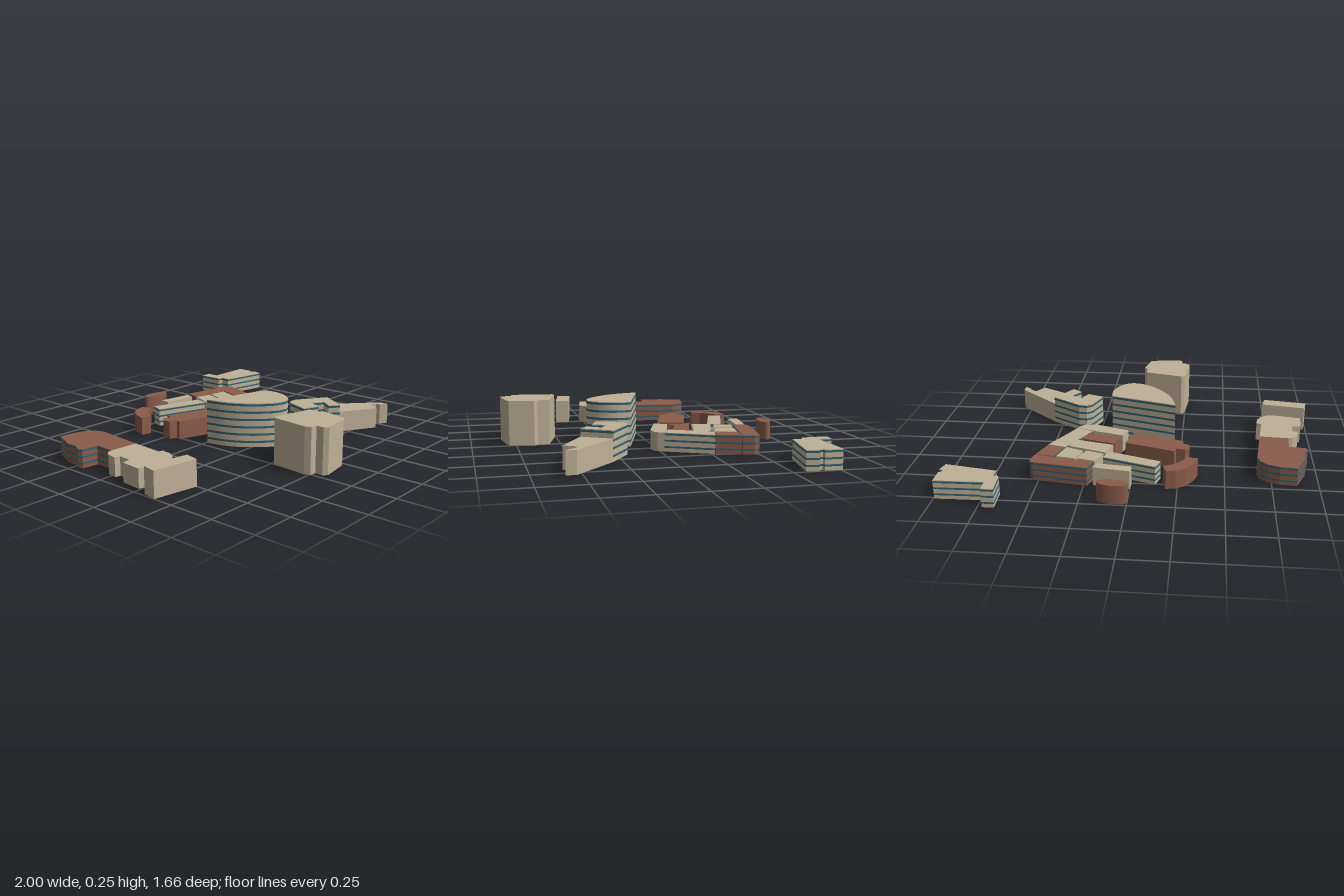
import * as THREE from 'three';

const TAN = new THREE.MeshStandardMaterial({ color: 0xbfb198 });
const RED = new THREE.MeshStandardMaterial({ color: 0x8b5c4b });
const GLASS = new THREE.MeshStandardMaterial({ color: 0x2f6373 });
const LOW = 0.105;

// Upright prism over a plan outline given as Vector2(x, -z)
function prism(outline, y, height, material, name) {
  const geo = new THREE.ExtrudeGeometry(new THREE.Shape(outline), { depth: height, bevelEnabled: false });
  geo.rotateX(-Math.PI / 2);
  const mesh = new THREE.Mesh(geo, material);
  mesh.position.y = y;
  mesh.name = name;
  return mesh;
}

// Push a counter-clockwise outline outwards with mitred corners
function offset(pts, d) {
  const n = pts.length;
  const normal = (a, b) => new THREE.Vector2(b.y - a.y, a.x - b.x).normalize();
  return pts.map((p, i) => {
    const n1 = normal(pts[(i + n - 1) % n], p);
    const n2 = normal(p, pts[(i + 1) % n]);
    return p.clone().add(n1.clone().add(n2).multiplyScalar(d / Math.max(0.3, 1 + n1.dot(n2))));
  });
}

// Flat list of x, z pairs to Vector2 points
function plan(xz) {
  const pts = [];
  for (let i = 0; i < xz.length; i += 2) pts.push(new THREE.Vector2(xz[i], -xz[i + 1]));
  return pts;
}

// One building: solid body plus a window band on each floor
function building(name, pts, height, material, floors = 0) {
  const outline = THREE.ShapeUtils.isClockWise(pts) ? pts.slice().reverse() : pts;
  const group = new THREE.Group();
  group.name = name;
  group.add(prism(outline, 0, height, material, 'walls'));
  const step = height / Math.max(floors, 1);
  const ring = offset(outline, 0.0015);
  for (let i = 0; i < floors; i++) {
    group.add(prism(ring, (i + 0.6) * step, step * 0.28, GLASS, 'windowBand'));
  }
  return group;
}

export function createModel() {
  const model = new THREE.Group();
  model.name = 'campus';
  const add = (name, xz, height, material, floors) =>
    model.add(building(name, plan(xz), height, material, floors));

  // Oval and curved pavilions at the back
  const oval = new THREE.EllipseCurve(0.077, 0.705, 0.083, 0.037, 0, Math.PI * 2, false, -0.1);
  model.add(building('ovalPavilion', oval.getPoints(32).slice(0, -1), LOW, RED));
  add('curvedPavilion', [-0.353, -0.38, -0.29, -0.37, -0.27, -0.415, -0.235, -0.455, -0.195, -0.48,
    -0.17, -0.49, -0.187, -0.55, -0.24, -0.54, -0.29, -0.51, -0.33, -0.45], LOW, RED);

  // Bars and hall left of the courtyard
  add('shortBar', [0, -0.57, 0.2, -0.54, 0.19, -0.49, -0.005, -0.51], LOW, TAN);
  add('longBar', [-0.13, -0.505, 0.16, -0.41, 0.14, -0.335, -0.155, -0.435], LOW, TAN, 3);
  add('hall', [-0.22, -0.3, 0.06, -0.21, 0.02, -0.067, -0.267, -0.158, -0.255, -0.19,
    -0.3, -0.205, -0.305, -0.25, -0.28, -0.275, -0.23, -0.265], LOW, RED);

  // Courtyard cluster
  add('backWing', [0.23, -0.553, 0.53, -0.505, 0.545, -0.495, 0.552, -0.47, 0.535, -0.41, 0.205, -0.468], LOW, RED, 3);
  add('cornerBlock', [0.43, -0.42, 0.533, -0.404, 0.487, -0.275, 0.392, -0.302], LOW, RED, 3);
  add('innerBlockA', [0.2, -0.46, 0.297, -0.436, 0.262, -0.334, 0.165, -0.365], LOW, TAN);
  add('innerBlockB', [0.315, -0.436, 0.417, -0.42, 0.38, -0.297, 0.28, -0.34], LOW, TAN);
  add('innerBlockC', [0.155, -0.35, 0.37, -0.28, 0.337, -0.195, 0.123, -0.245], LOW, TAN);
  add('innerRedBlock', [0.12, -0.23, 0.31, -0.175, 0.283, -0.09, 0.135, -0.14, 0.12, -0.115, 0.09, -0.125], LOW, RED);
  add('sideWing', [0.39, -0.297, 0.487, -0.27, 0.358, -0.024, 0.267, -0.067], LOW, TAN, 3);
  add('frontWing', [0.085, -0.11, 0.262, -0.06, 0.358, -0.024, 0.337, 0.013, 0.32, 0.028,
    0.29, 0.035, 0.246, 0.03, 0.06, -0.035], LOW, TAN);

  // Tall tower with a straight back and a bowed front
  const bow = new THREE.SplineCurve(plan([0.17, 0.125, 0.176, 0.2, 0.155, 0.275, 0.11, 0.335, 0.06, 0.356,
    -0.005, 0.34, -0.075, 0.286, -0.145, 0.2, -0.187, 0.11, -0.21, 0.01]));
  model.add(building('bowedTower', bow.getPoints(36), 0.255, TAN, 6));

  // Tall plain block at the front
  add('frontTower', [-0.246, 0.515, -0.225, 0.505, 0, 0.564, 0, 0.628, 0.02, 0.65, -0.015, 0.79,
    -0.03, 0.8, -0.2, 0.826, -0.22, 0.805, -0.22, 0.762, -0.257, 0.757, -0.27, 0.725], 0.255, TAN);

  // Hooked building and its lower annex
  add('hookedBuilding', [0.257, 0.34, 0.305, 0.21, 0.337, 0.185, 0.385, 0.19, 0.556, 0.302,
    0.46, 0.457, 0.406, 0.414, 0.455, 0.345, 0.385, 0.302, 0.353, 0.377], 0.165, TAN, 4);
  add('hookedAnnex', [0.556, 0.302, 0.8, 0.527, 0.8, 0.583, 0.76, 0.553, 0.754, 0.53,
    0.717, 0.51, 0.674, 0.58, 0.46, 0.457], 0.122, TAN);

  // Separate building at the back corner
  add('backCornerBuilding', [0.663, -0.83, 0.727, -0.83, 0.727, -0.757, 0.995, -0.762, 0.995, -0.665,
    0.98, -0.66, 0.98, -0.64, 1, -0.634, 0.984, -0.57, 0.695, -0.623, 0.7, -0.676, 0.668, -0.687], LOW, TAN, 3);

  // Long row on the right-hand side
  add('rowRedBuilding', [-0.882, -0.457, -0.79, -0.447, -0.727, -0.425, -0.69, -0.388, -0.674, -0.345,
    -0.7, -0.056, -0.86, -0.067, -0.856, -0.185, -0.947, -0.195, -0.957, -0.217, -0.936, -0.26, -0.936, -0.33], LOW, RED, 3);
  add('rowTanBuilding', [-0.86, -0.067, -0.7, -0.056, -0.717, 0.13, -0.69, 0.136, -0.695, 0.19,
    -0.717, 0.233, -0.75, 0.26, -0.797, 0.27, -0.957, 0.238, -0.947, 0.115, -0.898, 0.11,
    -0.893, 0.035, -0.925, 0.03, -0.914, -0.03, -0.888, -0.06], LOW, TAN);
  add('rowEndBar', [-0.984, 0.307, -0.733, 0.35, -0.75, 0.43, -1, 0.388], 0.143, TAN);

  return model;
}
